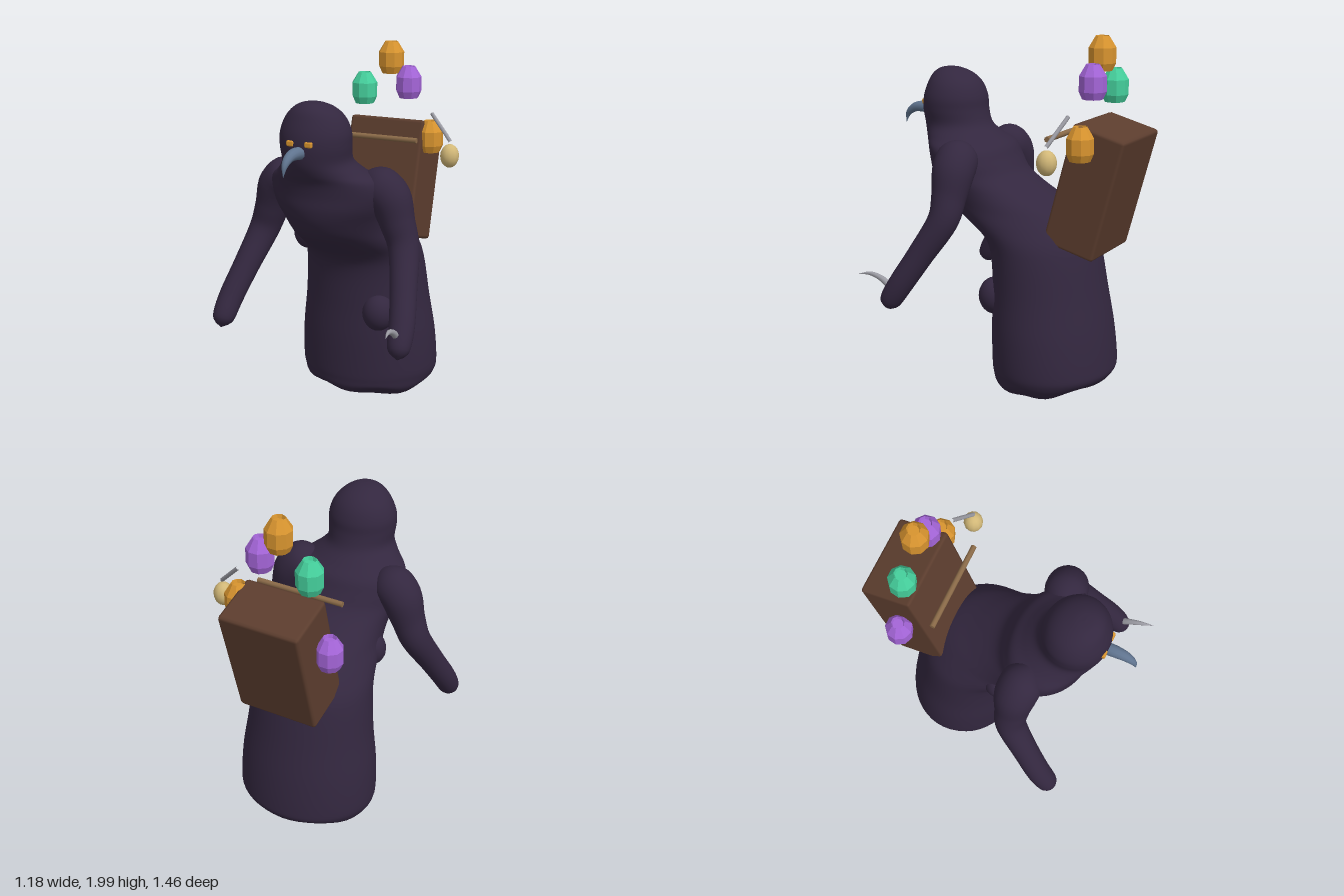
import * as THREE from 'three';
import { mergeVertices } from 'three/addons/utils/BufferGeometryUtils.js';
import { RoundedBoxGeometry } from 'three/addons/geometries/RoundedBoxGeometry.js';

const mat = (name, color) => {
  const m = new THREE.MeshStandardMaterial({ color });
  m.name = name;
  return m;
};

const spline = (pts) => new THREE.CatmullRomCurve3(pts, false, 'catmullrom', 0.5);

// Stacked elliptical sections: [y, front z, back z, half width]
function loft(sections, rings, sides) {
  const heights = spline(sections.map((s) => new THREE.Vector3(s[0], 0, 0)));
  const sizes = spline(sections.map((s) => new THREE.Vector3(s[1], s[2], s[3])));
  const pos = [], index = [];
  for (let i = 0; i <= rings; i++) {
    const y = heights.getPoint(i / rings).x;
    const s = sizes.getPoint(i / rings);
    const wave = 0.012 * Math.max(0, 1 - Math.abs(y - 0.08) / 0.07); // uneven hem
    for (let j = 0; j < sides; j++) {
      const a = (j / sides) * Math.PI * 2;
      pos.push(Math.max(0, s.z) * Math.sin(a), y - wave * Math.cos(6 * a),
        (s.x + s.y) / 2 + (s.x - s.y) / 2 * Math.cos(a));
      if (i < rings) {
        const k = (j + 1) % sides, p = i * sides, q = p + sides;
        index.push(p + j, p + k, q + j, p + k, q + k, q + j);
      }
    }
  }
  const g = new THREE.BufferGeometry();
  g.setAttribute('position', new THREE.Float32BufferAttribute(pos, 3));
  g.setIndex(index);
  g.computeVertexNormals();
  return g;
}

// Tube of changing radius through points [x, y, z, radius]
function taperTube(points, rings, sides) {
  const path = spline(points.map((p) => new THREE.Vector3(p[0], p[1], p[2])));
  const radii = spline(points.map((p) => new THREE.Vector3(p[3], 0, 0)));
  let g = new THREE.TubeGeometry(path, rings, 1, sides);
  const pos = g.attributes.position, v = new THREE.Vector3();
  for (let i = 0; i <= rings; i++) {
    const c = path.getPointAt(i / rings);
    const r = Math.max(0.0005, radii.getPoint(path.getUtoTmapping(i / rings)).x);
    for (let j = 0; j <= sides; j++) {
      const n = i * (sides + 1) + j;
      v.fromBufferAttribute(pos, n).sub(c).multiplyScalar(r).add(c);
      pos.setXYZ(n, v.x, v.y, v.z);
    }
  }
  g.deleteAttribute('uv');
  g.deleteAttribute('normal');
  g = mergeVertices(g, 1e-5);
  g.computeVertexNormals();
  return g;
}

export function createModel() {
  const group = new THREE.Group();
  const cloth = mat('dark cloth', 0x33273f);
  const leather = mat('brown leather', 0x5c3d2e);
  const wood = mat('wood', 0x8a6a48);
  const amber = mat('amber', 0xd8942f);
  const violet = mat('violet', 0xa465d8);
  const green = mat('green', 0x45cf9c);
  const horn = mat('slate horn', 0x60748f);
  const metal = mat('grey metal', 0x9a9aa2);
  const straw = mat('straw', 0xd2b878);

  const add = (name, geometry, material, x = 0, y = 0, z = 0) => {
    const m = new THREE.Mesh(geometry, material);
    m.name = name;
    m.position.set(x, y, z);
    group.add(m);
    return m;
  };

  // Robe, hunched torso and hooded head
  add('robeAndHood', loft([
    [0.015, -0.17, -0.17, 0], [0.02, -0.08, -0.26, 0.16], [0.05, 0.0, -0.38, 0.28],
    [0.10, 0.08, -0.50, 0.36], [0.15, 0.095, -0.56, 0.39], [0.22, 0.10, -0.565, 0.4],
    [0.4, 0.105, -0.545, 0.39], [0.6, 0.105, -0.51, 0.362], [0.8, 0.12, -0.475, 0.342],
    [0.9, 0.17, -0.45, 0.328], [0.98, 0.29, -0.41, 0.305], [1.06, 0.41, -0.33, 0.28],
    [1.14, 0.465, -0.17, 0.28], [1.22, 0.49, -0.03, 0.3], [1.3, 0.495, 0.03, 0.315],
    [1.37, 0.51, 0.07, 0.3], [1.42, 0.54, 0.13, 0.235], [1.48, 0.565, 0.19, 0.185],
    [1.56, 0.577, 0.215, 0.188], [1.63, 0.572, 0.222, 0.187], [1.7, 0.55, 0.25, 0.16],
    [1.75, 0.525, 0.3, 0.115], [1.78, 0.485, 0.37, 0.06], [1.788, 0.43, 0.43, 0],
  ], 110, 48), cloth);

  // Bulging pouches under the cloth
  add('frontPouch', new THREE.SphereGeometry(0.09, 24, 16), cloth, 0.19, 0.57, 0.045).scale.y = 1.15;
  add('sidePouch', new THREE.SphereGeometry(0.08, 24, 16), cloth, -0.235, 0.99, 0.07).scale.y = 1.2;

  // Arms
  for (const s of [1, -1]) {
    add(s > 0 ? 'leftArm' : 'rightArm', taperTube([
      [0.18, 1.38, 0.25, 0.02], [0.25, 1.345, 0.23, 0.105], [0.33, 1.28, 0.215, 0.115],
      [0.38, 1.15, 0.215, 0.095], [0.425, 1.02, 0.23, 0.083], [0.475, 0.84, 0.335, 0.072],
      [0.515, 0.68, 0.435, 0.068], [0.528, 0.585, 0.495, 0.062], [0.532, 0.545, 0.515, 0.046],
      [0.533, 0.518, 0.528, 0],
    ].map(([x, y, z, r]) => [x * s, y, z, r]), 60, 24), cloth);
  }

  // Claw on the left hand
  add('claw', taperTube([
    [0.52, 0.63, 0.5, 0.02], [0.522, 0.675, 0.56, 0.017], [0.532, 0.7, 0.63, 0.011],
    [0.55, 0.693, 0.7, 0],
  ], 20, 10), metal);

  // Face
  add('beak', taperTube([
    [0, 1.54, 0.54, 0.034], [0, 1.548, 0.61, 0.032], [0, 1.54, 0.67, 0.026],
    [0, 1.505, 0.715, 0.016], [0, 1.45, 0.732, 0],
  ], 24, 12), horn);
  for (const s of [1, -1]) {
    add(s > 0 ? 'leftEye' : 'rightEye', new RoundedBoxGeometry(0.042, 0.03, 0.03, 2, 0.008),
      amber, s * 0.052, 1.59, 0.564);
  }

  // Tilted pack with a bedroll bar across its front
  add('backpack', new RoundedBoxGeometry(0.46, 0.67, 0.3, 1, 0.018), leather, 0, 1.21, -0.495)
    .rotation.x = -0.264;
  add('bar', new THREE.CylinderGeometry(0.015, 0.015, 0.5, 10), wood, 0, 1.48, -0.3)
    .rotation.z = Math.PI / 2;

  // Faceted jars with a sunken mouth
  const profile = [[0, -0.09], [0.055, -0.09], [0.073, -0.05], [0.073, 0.03], [0.036, 0.09],
    [0.03, 0.07], [0, 0.07]].map(([x, y]) => new THREE.Vector2(x, y));
  const jar = new THREE.LatheGeometry(profile, 9).toNonIndexed();
  jar.computeVertexNormals();
  [[0, 1.91, amber], [0.11, 1.775, violet], [-0.17, 1.725, green], [0.25, 1.475, amber],
    [-0.28, 1.31, violet]].forEach(([x, y, m], i) => add('jar' + (i + 1), jar, m, x, y, -0.49));

  // Hanging lantern and its rod
  add('lanternRod', taperTube([
    [0.28, 1.615, -0.438, 0.011], [0.35, 1.545, -0.411, 0.011], [0.42, 1.475, -0.384, 0.011],
  ], 4, 8), metal);
  add('lantern', new THREE.SphereGeometry(0.053, 12, 10), straw, 0.415, 1.395, -0.385).scale.y = 1.25;

  return group;
}
